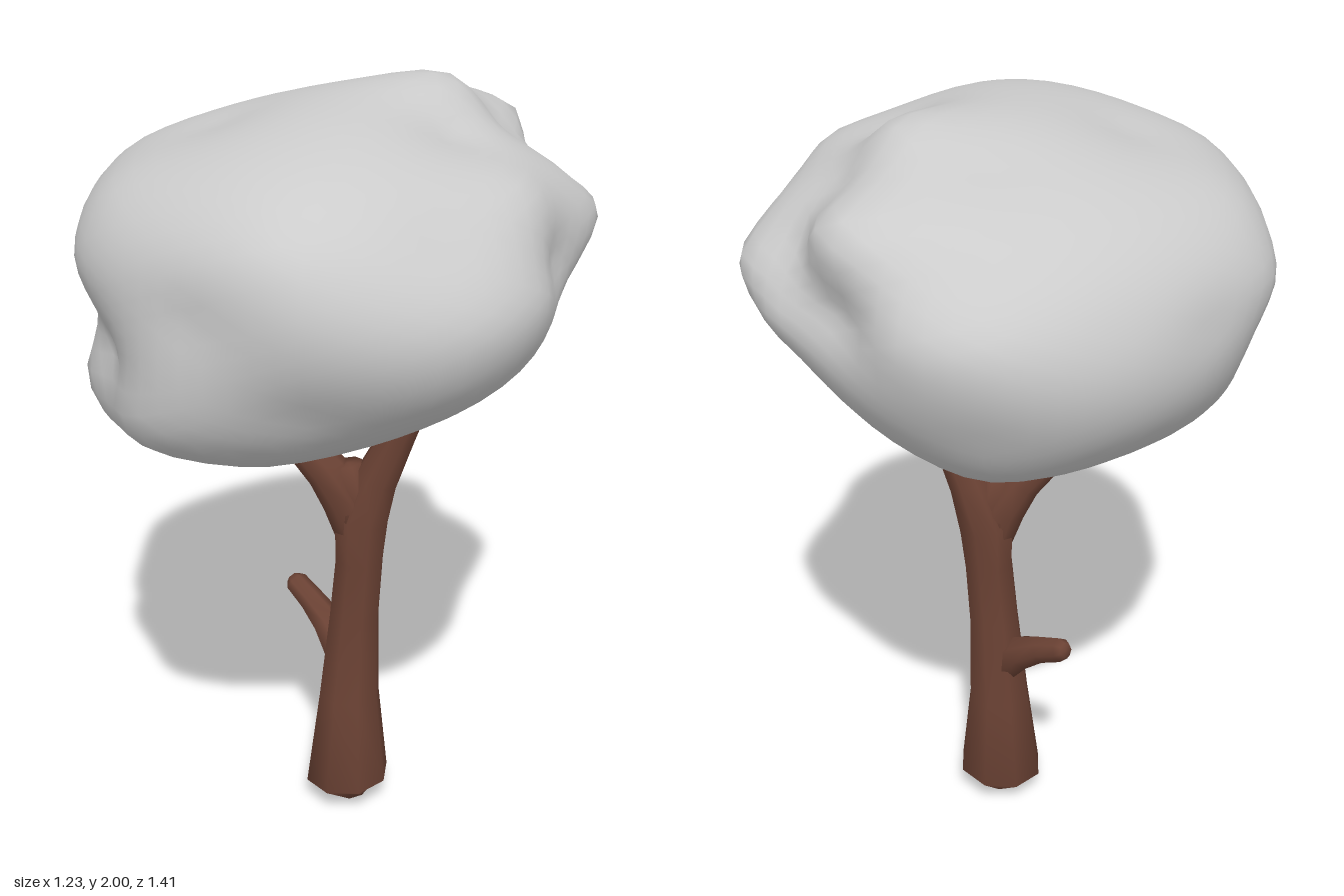
import * as THREE from 'three';
import { mergeVertices } from 'three/addons/utils/BufferGeometryUtils.js';

const bark = new THREE.MeshStandardMaterial({ color: 0x6b4234 });
const foliage = new THREE.MeshStandardMaterial({ color: 0xcccccc });

// Tapered limb through stations [x, y, z, radius], closed at both ends
function limb(name, stations, sides = 8) {
  const pts = stations.map(s => new THREE.Vector3(s[0], s[1], s[2]));
  const pos = [], index = [], last = pts.length - 1;
  pts.forEach((p, i) => {
    const t = pts[Math.min(i + 1, last)].clone().sub(pts[Math.max(i - 1, 0)]).normalize();
    const u = new THREE.Vector3().crossVectors(t, new THREE.Vector3(0, 0, 1)).normalize();
    const v = new THREE.Vector3().crossVectors(t, u);
    for (let j = 0; j < sides; j++) {
      const a = (j + 0.5) / sides * Math.PI * 2, r = stations[i][3];
      const q = p.clone().addScaledVector(u, r * Math.cos(a)).addScaledVector(v, r * Math.sin(a));
      pos.push(q.x, q.y, q.z);
      if (i < last) {
        const A = i * sides + j, B = i * sides + (j + 1) % sides;
        index.push(A, B, A + sides, B, B + sides, A + sides);
      }
    }
  });
  // End caps
  const n = pts.length * sides;
  pos.push(...pts[0].toArray(), ...pts[last].toArray());
  for (let j = 0; j < sides; j++) {
    const k = (j + 1) % sides;
    index.push(n, k, j, n + 1, last * sides + j, last * sides + k);
  }
  const g = new THREE.BufferGeometry();
  g.setAttribute('position', new THREE.Float32BufferAttribute(pos, 3));
  g.setIndex(index);
  g.computeVertexNormals();
  const mesh = new THREE.Mesh(g, bark);
  mesh.name = name;
  return mesh;
}

// Lumps and hollows that the crown's surface passes through
const lumps = [
  // top: knob, dip beside it, front ridge, back slope
  [0.24, 1.99, -0.15], [0.26, 1.9, 0.08], [0.08, 1.955, 0.23], [-0.28, 1.9, 0.05], [0.05, 1.93, -0.3],
  // right: valley, rear shoulder, dent, front shoulder, tip
  [0.36, 1.86, -0.22], [0.39, 1.85, -0.46], [0.45, 1.745, -0.29], [0.5, 1.79, -0.12], [0.61, 1.68, -0.18],
  [0.52, 1.6, -0.36], [0.5, 1.65, 0.2], [0.5, 1.62, 0.38], [0.44, 1.83, 0.25], [0.45, 1.42, 0.28],
  [0.46, 1.47, -0.12],
  // front
  [0.38, 1.6, 0.57], [0.31, 1.46, 0.57], [-0.05, 1.65, 0.7], [-0.06, 1.78, 0.66], [0.0, 1.88, 0.53],
  [-0.02, 1.42, 0.63], [-0.25, 1.62, 0.61], [0.28, 1.78, 0.5],
  // lower left lobe and the crease above it
  [-0.42, 1.32, 0.51], [-0.6, 1.32, 0.17], [-0.48, 1.43, 0.33], [-0.57, 1.65, 0.31], [-0.48, 1.82, 0.28],
  [-0.5, 1.2, 0.2], [-0.56, 1.46, 0.02],
  // left and back
  [-0.61, 1.66, 0.05], [-0.61, 1.64, -0.2], [-0.52, 1.81, -0.12], [-0.45, 1.62, -0.42], [-0.5, 1.33, -0.2],
  [-0.24, 1.68, -0.58], [0.09, 1.68, -0.69], [0.1, 1.79, -0.59], [0.26, 1.66, -0.62], [0.05, 1.45, -0.65],
  [0.34, 1.66, -0.48], [-0.28, 1.32, -0.44], [0.05, 1.29, -0.53],
  // underside
  [-0.25, 1.18, 0.12], [0.0, 1.19, -0.15], [0.2, 1.27, 0.03], [-0.12, 1.21, 0.43], [0.38, 1.35, 0.05],
];

// Gaussian elimination with pivoting; each row ends in its right-hand side
function solve(rows) {
  const n = rows.length;
  for (let c = 0; c < n; c++) {
    let best = c;
    for (let r = c + 1; r < n; r++) if (Math.abs(rows[r][c]) > Math.abs(rows[best][c])) best = r;
    [rows[c], rows[best]] = [rows[best], rows[c]];
    for (let r = 0; r < n; r++) {
      if (r === c) continue;
      const f = rows[r][c] / rows[c][c];
      for (let k = c; k <= n; k++) rows[r][k] -= f * rows[c][k];
    }
  }
  return rows.map((row, i) => row[n] / row[i]);
}

// Ball whose radius runs smoothly through every lump
function crown() {
  const centre = new THREE.Vector3(0, 1.58, 0), half = new THREE.Vector3(0.62, 0.41, 0.69);
  const offsets = lumps.map(l => new THREE.Vector3(...l).sub(centre).divide(half));
  const dirs = offsets.map(o => o.clone().normalize());
  const kernel = (a, b) => Math.sqrt(a.distanceToSquared(b) + 0.007);
  const weights = solve(dirs.map((d, i) => [...dirs.map(e => kernel(d, e)), offsets[i].length() - 1]));

  let g = new THREE.IcosahedronGeometry(1, 11);
  g.deleteAttribute('normal');
  g.deleteAttribute('uv');
  g = mergeVertices(g, 1e-4);
  const p = g.attributes.position, v = new THREE.Vector3();
  for (let i = 0; i < p.count; i++) {
    v.fromBufferAttribute(p, i).normalize();
    const r = dirs.reduce((sum, d, k) => sum + weights[k] * kernel(v, d), 1);
    v.multiplyScalar(r).multiply(half).add(centre);
    p.setXYZ(i, v.x, v.y, v.z);
  }
  g.computeVertexNormals();
  const mesh = new THREE.Mesh(g, foliage);
  mesh.name = 'crown';
  return mesh;
}

export function createModel() {
  const tree = new THREE.Group();
  tree.name = 'tree';
  tree.add(
    // Trunk running on into its left branch
    limb('trunkAndLeftBranch', [
      [0.045, 0.016, 0.0, 0.05], [0.02, 0.07, 0.01, 0.116], [0.024, 0.33, -0.003, 0.084],
      [0.037, 0.58, 0.0, 0.068], [0.05, 0.75, 0.0, 0.065], [0.055, 0.87, -0.002, 0.074],
      [0.095, 0.99, 0.003, 0.058], [0.15, 1.12, 0.02, 0.046], [0.207, 1.26, 0.032, 0.038],
      [0.219, 1.305, 0.036, 0.024],
    ]),
    limb('rightBranch', [
      [0.055, 0.76, 0.0, 0.045], [0.015, 0.92, 0.0, 0.064], [-0.035, 1.0, 0.0, 0.056],
      [-0.12, 1.09, -0.008, 0.045], [-0.175, 1.19, -0.015, 0.037], [-0.2, 1.25, -0.02, 0.024],
    ]),
    // Web filling the crotch between the branches
    limb('fork', [[0.05, 0.86, 0.0, 0.068], [0.03, 0.97, 0.0, 0.052], [0.02, 1.025, 0.0, 0.036]]),
    limb('twig', [
      [0.02, 0.42, 0.0, 0.055], [-0.04, 0.505, -0.065, 0.046], [-0.09, 0.545, -0.11, 0.036],
      [-0.14, 0.575, -0.155, 0.032], [-0.152, 0.582, -0.167, 0.02],
    ], 7),
    crown(),
  );
  return tree;
}
